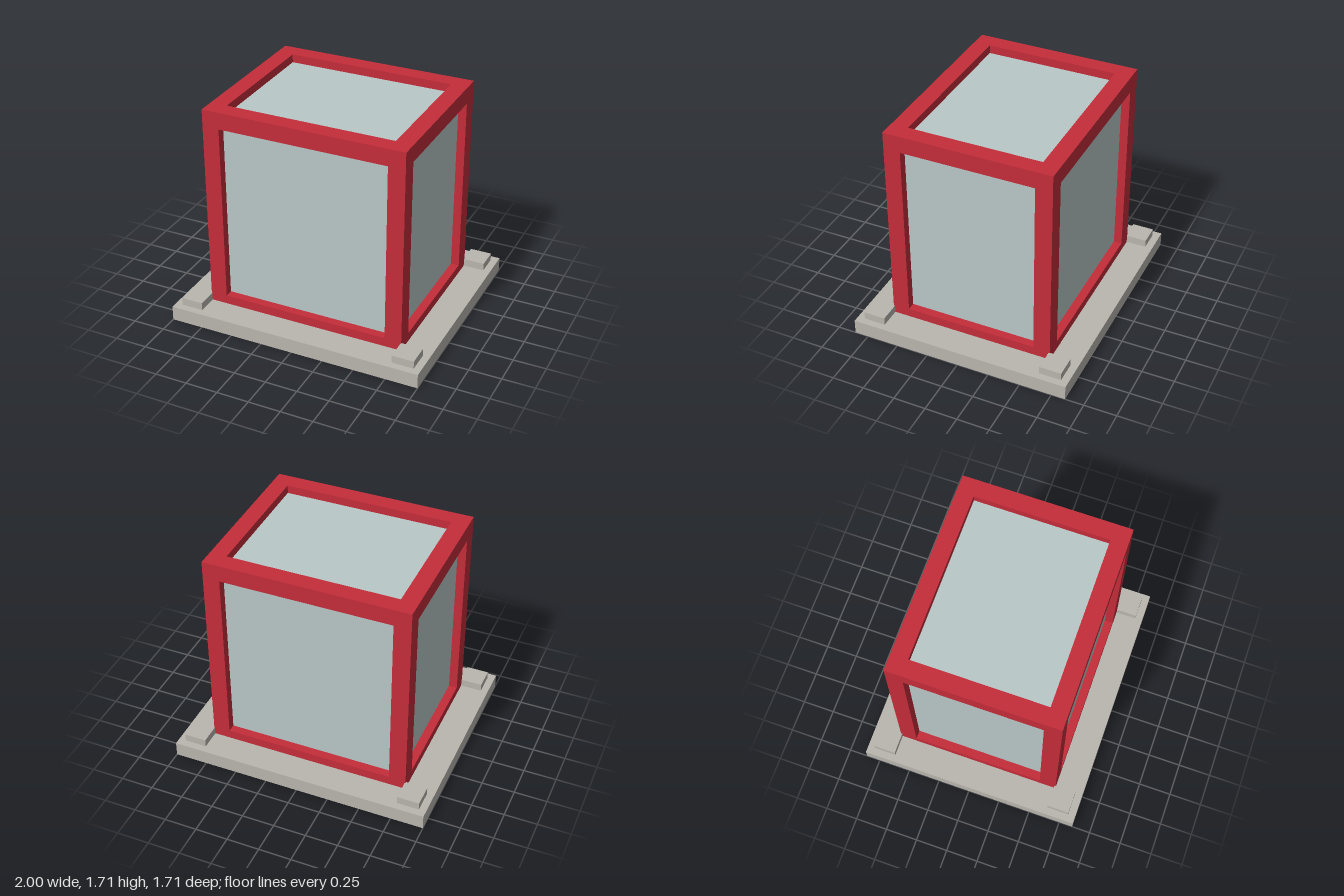
import * as THREE from 'three';

const material = (name, color) => {
  const m = new THREE.MeshStandardMaterial({ color });
  m.name = name;
  return m;
};

export function createModel() {
  const red = material('red frame', 0xc52d3a);
  const stone = material('warm grey base', 0xbab6af);
  const glass = material('pale glass', 0xbac8c8);

  const model = new THREE.Group();
  model.name = 'glassCase';

  const box = (name, mat, size, pos, parent = model) => {
    const mesh = new THREE.Mesh(new THREE.BoxGeometry(...size), mat);
    mesh.name = name;
    mesh.position.set(...pos);
    parent.add(mesh);
  };

  // Base slab
  const baseH = 0.115;
  box('base', stone, [2, baseH, 1.714], [0, baseH / 2, 0]);

  // Frame dimensions: outer half sizes, bar thickness, vertical extent
  const X = 0.78, Z = 0.64, T = 0.13, bottom = 0.055, top = 1.71;
  const height = top - bottom, midY = (top + bottom) / 2;
  const frame = new THREE.Group();
  frame.name = 'frame';
  model.add(frame);

  for (const sx of [-1, 1]) {
    for (const sz of [-1, 1]) {
      // Corner posts and the small blocks outside them
      box('post', red, [T, height, T], [sx * (X - T / 2), midY, sz * (Z - T / 2)], frame);
      box('cornerBlock', stone, [0.17, 0.06, 0.17], [sx * 0.86, baseH + 0.03, sz * 0.715]);
    }
  }

  // Top and bottom rails between the posts
  for (const y of [bottom + T / 2, top - T / 2]) {
    for (const s of [-1, 1]) {
      box('longRail', red, [2 * (X - T), T, T], [0, y, s * (Z - T / 2)], frame);
      box('sideRail', red, [T, T, 2 * (Z - T)], [s * (X - T / 2), y, 0], frame);
    }
  }

  // Glass body, set back to the middle of the bars
  box('glass', glass, [2 * X - T, height - T, 2 * Z - T], [0, midY, 0]);

  return model;
}
